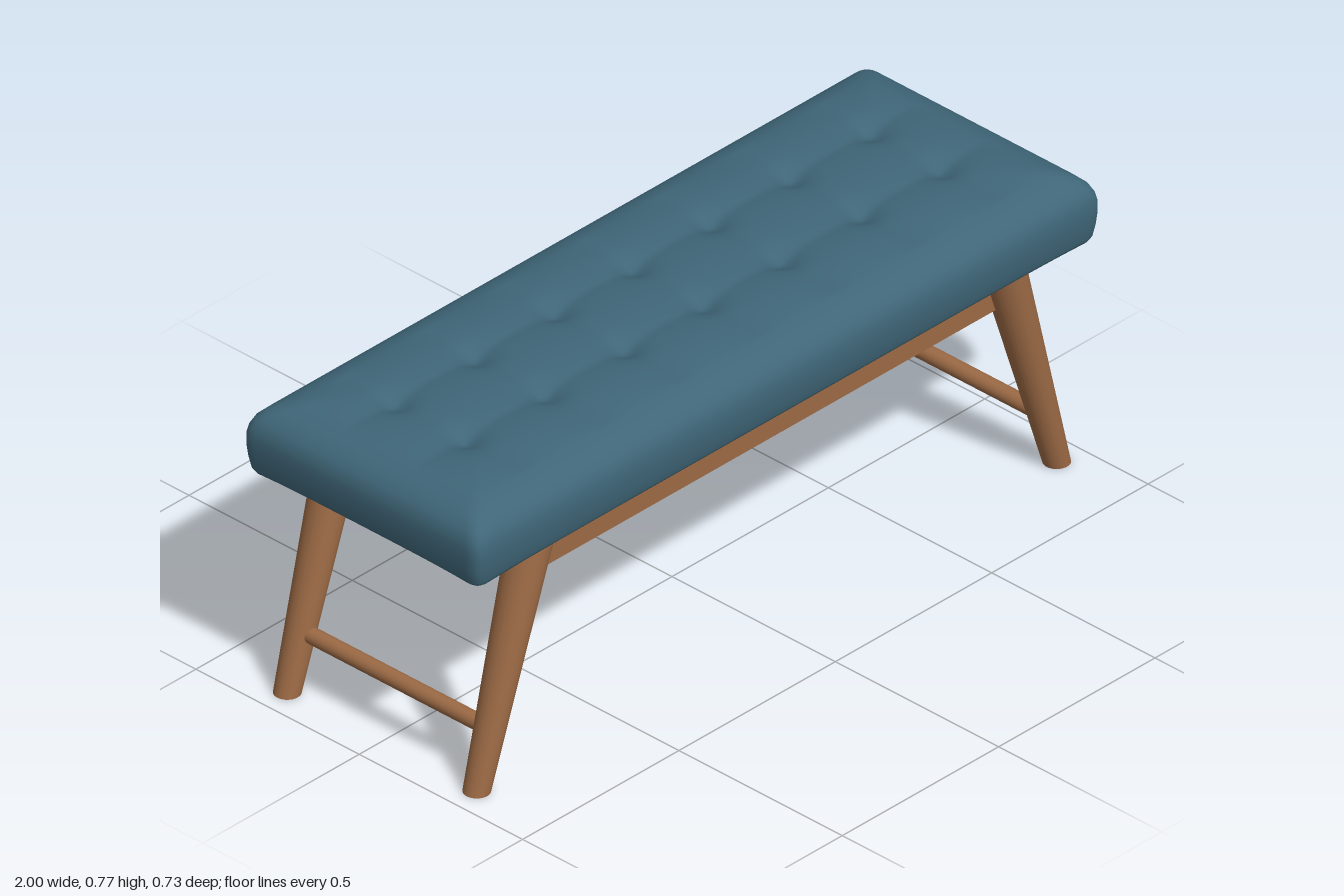
import * as THREE from 'three';
import { mergeVertices } from 'three/addons/utils/BufferGeometryUtils.js';

const TUFT_X = [-0.76, -0.505, -0.25, 0, 0.25, 0.505, 0.76];
const TUFT_Z = [-0.12, 0.095];
// cushion side profile from bottom to top: [inset, y]
const PROFILE = [
  [0.024, 0.589], [0.014, 0.593], [0.008, 0.602], [0.003, 0.63], [0, 0.66], [0.0, 0.685],
  [0.004, 0.705], [0.013, 0.724], [0.03, 0.741], [0.053, 0.754], [0.078, 0.762],
];

const nearest = (value, list) => Math.min(...list.map((c) => Math.abs(value - c)));
const pleat = (d, w) => Math.max(0, 1 - d / w) ** 2;

// height of the tufted top
function topHeight(x, z, edge) {
  const dx = nearest(x, TUFT_X), dz = nearest(z, TUFT_Z);
  const pleats = 0.009 * pleat(dz, 0.11) + 0.008 * pleat(dx, 0.125);
  const dimple = 0.016 * Math.exp(-(dx * dx + dz * dz) / 0.0016);
  const fade = 1 - Math.exp(-edge / 0.04);
  return 0.775 - 0.013 * Math.exp(-edge / 0.05) - (pleats + dimple) * fade;
}

// soft block: a subdivided box wrapped around the side profile
function cushionGeometry() {
  const n = PROFILE.length - 1;
  let geo = new THREE.BoxGeometry(2, 1, 2, 160, n, 56);
  geo.deleteAttribute('normal');
  geo.deleteAttribute('uv');
  geo = mergeVertices(geo);
  const pos = geo.attributes.position;
  const r = 0.03;
  for (let i = 0; i < pos.count; i++) {
    const u = pos.getX(i), v = pos.getZ(i);
    const k = Math.round((pos.getY(i) + 0.5) * n);
    const [inset, level] = PROFILE[k];
    const hx = 1 - inset, hz = 0.363 - inset;
    let x = Math.abs(u) * hx, z = Math.abs(v) * hz;
    const edge = Math.min(hx - x, hz - z);
    // round the vertical corners
    const ex = x - (hx - r), ez = z - (hz - r);
    if (ex > 0 && ez > 0) {
      const s = Math.max(ex, ez) / Math.hypot(ex, ez);
      x = hx - r + ex * s;
      z = hz - r + ez * s;
    }
    x *= Math.sign(u);
    z *= Math.sign(v);
    let y = k === n ? topHeight(x, z, edge) : level;
    // lower corners droop slightly
    y -= 0.009 * u ** 8 * v ** 4 * Math.max(0, 1 - k / 5);
    pos.setXYZ(i, x, y, z);
  }
  geo.computeVertexNormals();
  return geo;
}

// tapered leg, sheared so that both ends stay level
function legGeometry(side) {
  const h = 0.6;
  const geo = new THREE.CylinderGeometry(0.054, 0.032, h, 32);
  geo.translate(0, h / 2, 0);
  const lean = -0.172 / 0.59;
  geo.applyMatrix4(new THREE.Matrix4().set(
    1, side * lean, 0, side * 0.927,
    0, 1, 0, 0,
    0, 0, 1, 0,
    0, 0, 0, 1));
  return geo;
}

export function createModel() {
  const group = new THREE.Group();
  const fabric = new THREE.MeshStandardMaterial({ name: 'teal fabric', color: 0x3f6678 });
  const wood = new THREE.MeshStandardMaterial({ name: 'brown wood', color: 0x9c6a45 });

  const add = (name, geo, mat, x = 0, y = 0, z = 0) => {
    const mesh = new THREE.Mesh(geo, mat);
    mesh.name = name;
    mesh.position.set(x, y, z);
    group.add(mesh);
    return mesh;
  };

  add('cushion', cushionGeometry(), fabric);
  add('frame', new THREE.BoxGeometry(1.53, 0.11, 0.57), wood, 0, 0.54, 0);

  for (const side of [1, -1]) {
    const label = side > 0 ? 'left' : 'right';
    const leg = legGeometry(side);
    add(label + 'FrontLeg', leg, wood, 0, 0, 0.29);
    add(label + 'BackLeg', leg, wood, 0, 0, -0.29);
    // round rail joining the two legs
    const rail = add(label + 'Rail', new THREE.CylinderGeometry(0.02, 0.02, 0.57, 24), wood, side * 0.885, 0.145, 0);
    rail.rotation.x = Math.PI / 2;
  }
  return group;
}
